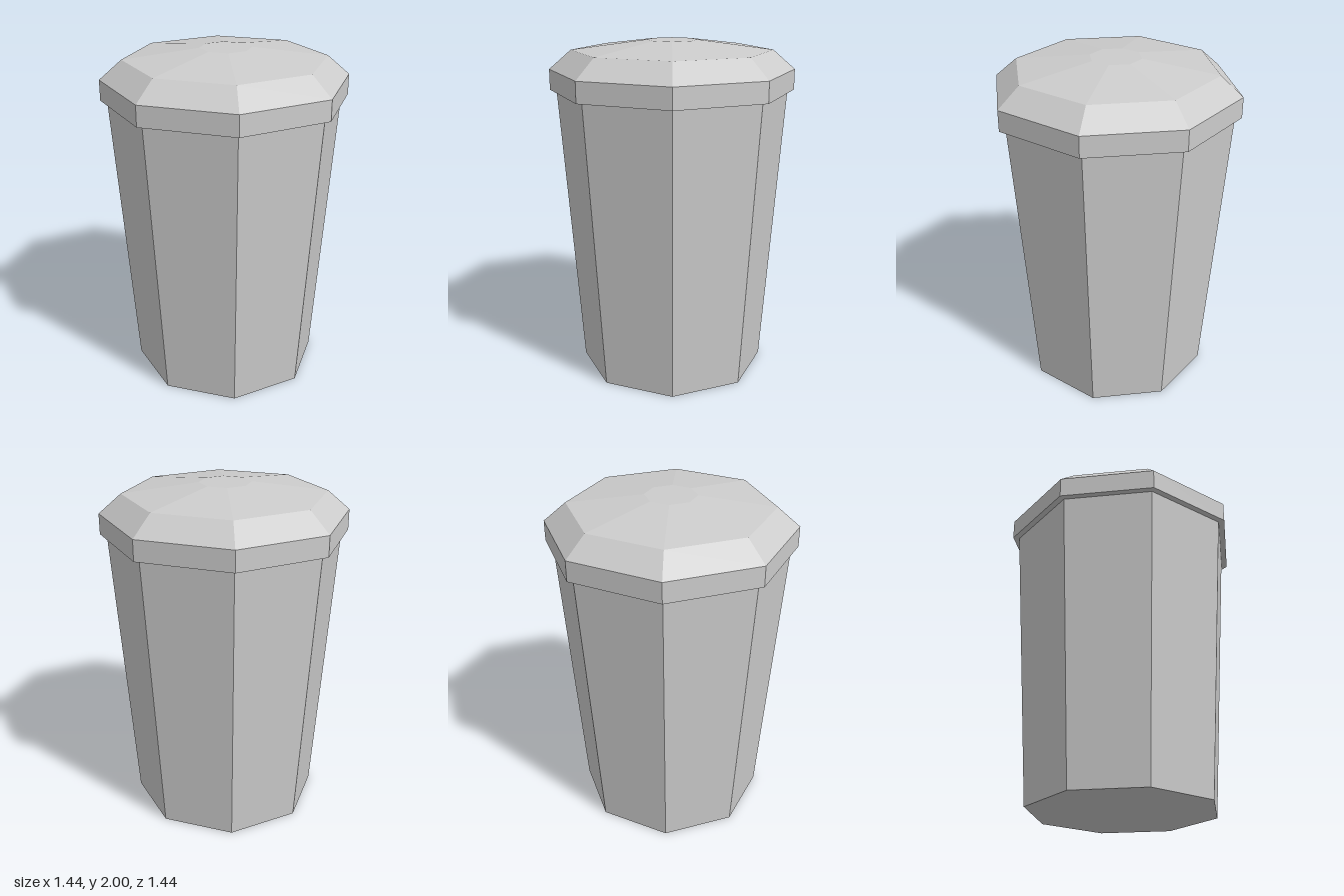
import * as THREE from 'three';

const SIDES = 8;

// Faceted eight-sided turned part from [radius, height] pairs, listed bottom to top
function facetedPart(name, profile, material) {
  const points = profile.map(([r, y]) => new THREE.Vector2(r, y));
  const geometry = new THREE.LatheGeometry(points, SIDES).toNonIndexed();
  geometry.computeVertexNormals();
  const mesh = new THREE.Mesh(geometry, material);
  mesh.name = name;
  return mesh;
}

export function createModel() {
  const group = new THREE.Group();
  group.name = 'liddedBin';

  const grey = new THREE.MeshStandardMaterial({ color: 0xcccccc });
  grey.name = 'lightGrey';

  // Tapered body with a closed base; the lid covers its top
  group.add(facetedPart('body', [[0, 0], [0.56, 0], [0.68, 1.71]], grey));

  // Lid: overhanging underside, upright rim, bevel, shallow crown, flat centre
  group.add(facetedPart('lid', [
    [0.675, 1.71], [0.718, 1.71], [0.718, 1.83],
    [0.588, 1.942], [0.15, 2], [0, 2],
  ], grey));

  return group;
}
